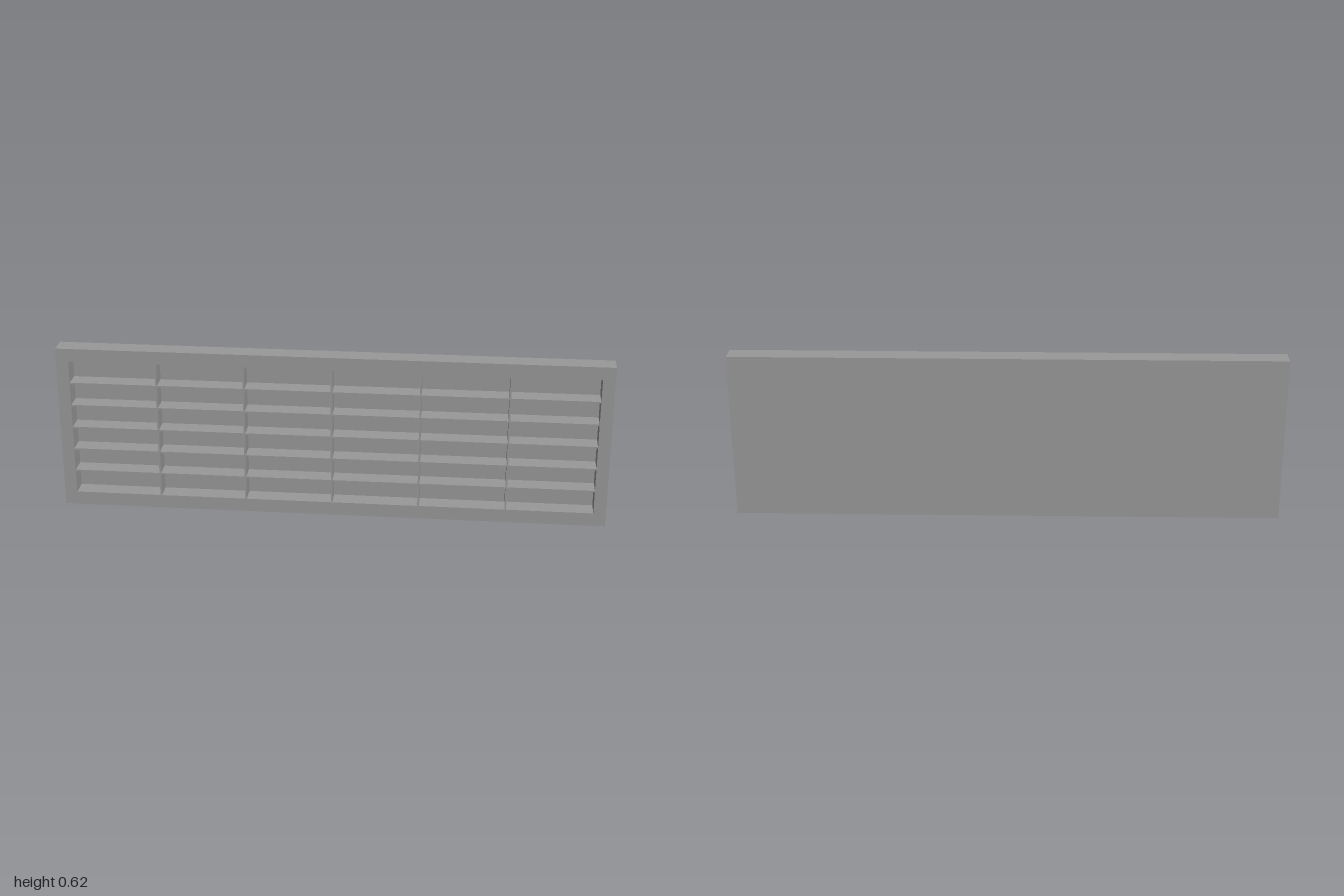
import * as THREE from 'three';

const W = 2, H = 0.617, D = 0.073;      // overall size
const BACK = 0.005;                     // back plate thickness
const OPEN_X = 0.955, OPEN_Y0 = 0.05, OPEN_Y1 = 0.57; // recessed opening
const COLS = 6, ROWS = 6, BAR = 0.006;

export function createModel() {
  const group = new THREE.Group();
  const grey = new THREE.MeshStandardMaterial({ color: 0x999999 });
  grey.name = 'grey';

  const add = (name, geometry, x, y, z) => {
    const mesh = new THREE.Mesh(geometry, grey);
    mesh.name = name;
    mesh.position.set(x, y, z);
    group.add(mesh);
  };

  // Outer frame with one rectangular opening
  const outline = new THREE.Shape([
    new THREE.Vector2(-W / 2, 0), new THREE.Vector2(W / 2, 0),
    new THREE.Vector2(W / 2, H), new THREE.Vector2(-W / 2, H),
  ]);
  outline.holes.push(new THREE.Path([
    new THREE.Vector2(-OPEN_X, OPEN_Y0), new THREE.Vector2(-OPEN_X, OPEN_Y1),
    new THREE.Vector2(OPEN_X, OPEN_Y1), new THREE.Vector2(OPEN_X, OPEN_Y0),
  ]));
  const depth = D - BACK;
  add('frame', new THREE.ExtrudeGeometry(outline, { depth, bevelEnabled: false }), 0, 0, -D / 2 + BACK);

  // Closed back
  add('backPlate', new THREE.BoxGeometry(W, H, BACK), 0, H / 2, -D / 2 + BACK / 2);

  // Thin grid of dividers and shelves, just behind the frame's face
  const barDepth = depth - 0.001;
  const barZ = -D / 2 + BACK + barDepth / 2;
  const openH = OPEN_Y1 - OPEN_Y0, midY = (OPEN_Y0 + OPEN_Y1) / 2;
  for (let i = 1; i < COLS; i++) {
    const x = -OPEN_X + (2 * OPEN_X * i) / COLS;
    add('divider' + i, new THREE.BoxGeometry(BAR, openH, barDepth), x, midY, barZ);
  }
  for (let j = 1; j < ROWS; j++) {
    const y = OPEN_Y0 + (openH * j) / ROWS;
    add('shelf' + j, new THREE.BoxGeometry(2 * OPEN_X, BAR, barDepth), 0, y, barZ);
  }
  return group;
}
